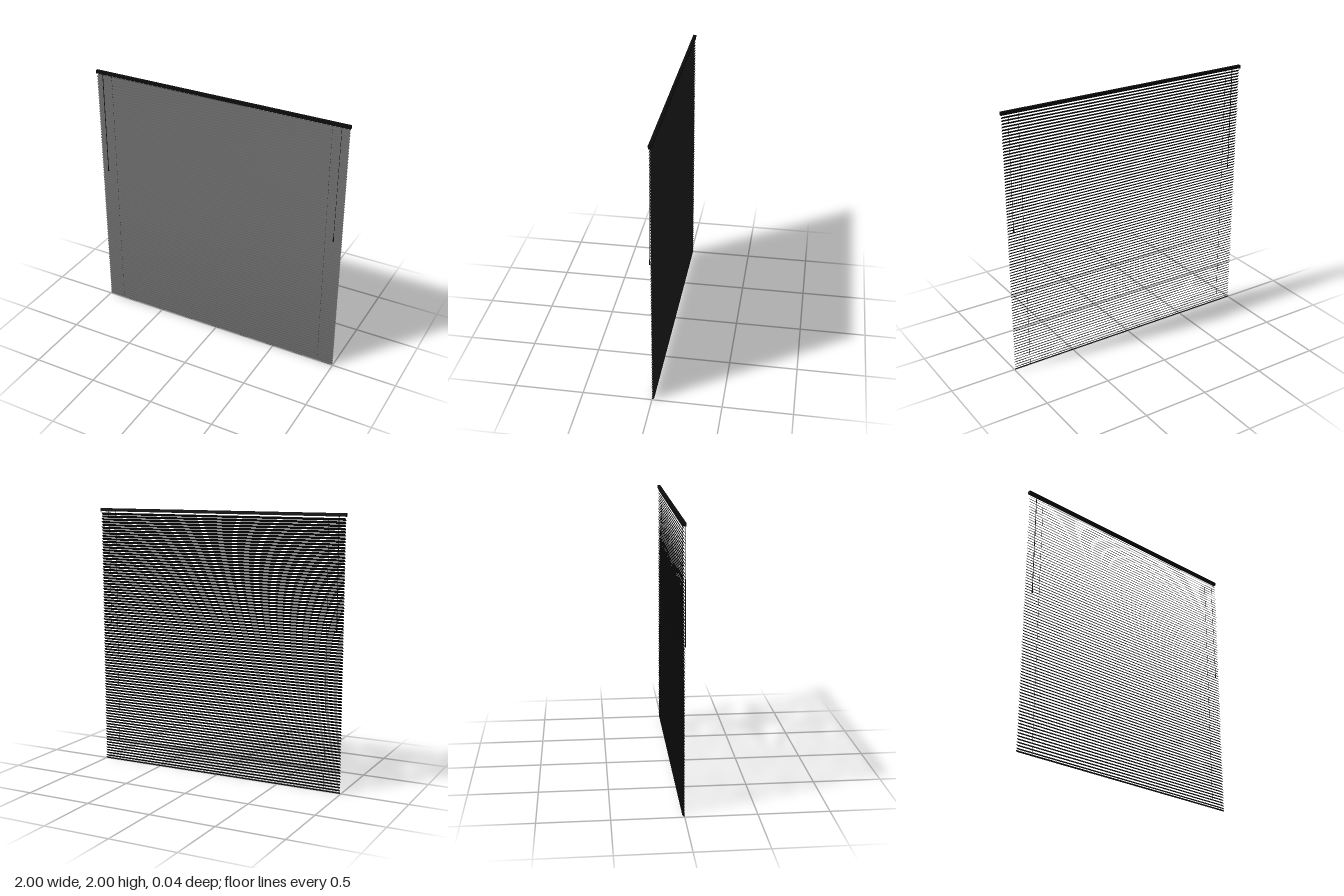
import * as THREE from 'three';

const WIDTH = 1.99;
const SLATS = 90, PITCH = 0.0217, FIRST_Y = 0.026;
const SLAT_Z = -0.008, TILT = Math.PI / 4, DEPTH = 0.0258;

export function createModel() {
  const model = new THREE.Group();
  const dark = new THREE.MeshStandardMaterial({ color: 0x0c0c0c });
  const darkSheet = new THREE.MeshStandardMaterial({ color: 0x0c0c0c, side: THREE.DoubleSide });

  const add = (name, geometry, x, y, z, material = dark) => {
    const mesh = new THREE.Mesh(geometry, material);
    mesh.name = name;
    mesh.position.set(x, y, z);
    model.add(mesh);
    return mesh;
  };

  // Round bar between two points
  const rod = (name, a, b, radius, sides = 8) => {
    const curve = new THREE.LineCurve3(new THREE.Vector3(...a), new THREE.Vector3(...b));
    return add(name, new THREE.TubeGeometry(curve, 1, radius, sides), 0, 0, 0);
  };

  // Head rail with its end caps
  add('headRail', new THREE.BoxGeometry(WIDTH, 0.023, 0.022), 0, 1.9885, -0.008);
  for (const s of [-1, 1]) {
    add('headRailCap', new THREE.BoxGeometry(0.005, 0.024, 0.023), s * 0.9975, 1.988, -0.008);
  }

  // Thin crowned slats, front edge tilted down
  const slat = new THREE.PlaneGeometry(WIDTH, DEPTH, 1, 4).rotateX(-Math.PI / 2);
  const p = slat.attributes.position;
  for (let i = 0; i < p.count; i++) {
    p.setY(i, 0.0012 * (1 - (2 * p.getZ(i) / DEPTH) ** 2));
  }
  slat.computeVertexNormals();
  slat.rotateX(TILT);
  for (let i = 0; i < SLATS; i++) {
    add('slat', slat, 0, FIRST_Y + i * PITCH, SLAT_Z, darkSheet);
  }

  // Bottom rail
  add('bottomRail', new THREE.BoxGeometry(WIDTH, 0.005, 0.018).rotateX(TILT), 0, 0.0082, SLAT_Z);

  // Lift cords through the slats
  for (const x of [-0.87, 0.87]) {
    rod('liftCord', [x, 0.008, -0.006], [x, 1.98, -0.006], 0.001, 6);
  }

  // Tilt wand with hook and grip
  rod('tiltWand', [-0.94, 1.2, 0.006], [-0.94, 1.975, 0.006], 0.0025);
  add('wandGrip', new THREE.CylinderGeometry(0.003, 0.0045, 0.045, 10), -0.94, 1.2, 0.006);
  add('wandHook', new THREE.TorusGeometry(0.004, 0.0012, 6, 12), -0.94, 1.976, 0.005);

  // Pull cord hanging slightly forward, ending in a tassel
  rod('pullCord', [0.94, 1.98, 0.003], [0.94, 1.13, 0.0135], 0.0012, 6);
  const profile = [[0, -0.02], [0.005, -0.02], [0.0055, -0.014], [0.003, 0.014], [0.0015, 0.02], [0, 0.02]];
  add('tassel', new THREE.LatheGeometry(profile.map(q => new THREE.Vector2(...q)), 12), 0.94, 1.12, 0.0135);

  return model;
}
